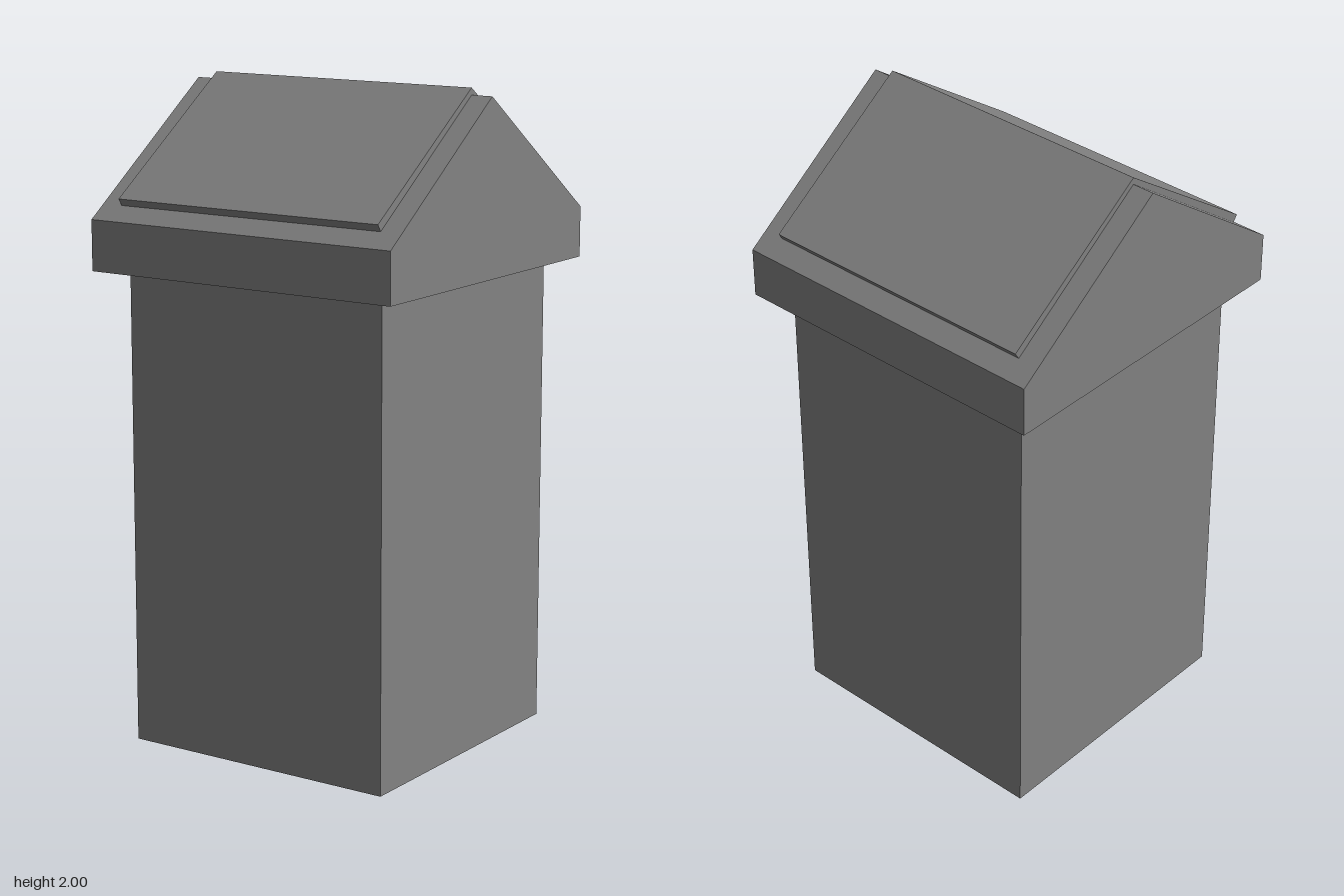
import * as THREE from 'three';

const material = new THREE.MeshStandardMaterial({ color: 0x838383 });

// Extrudes a (z, y) profile along x, centred on x = 0
function extrudeAlongX(name, profile, width) {
  const shape = new THREE.Shape(profile.map(([z, y]) => new THREE.Vector2(-z, y)));
  const geometry = new THREE.ExtrudeGeometry(shape, { depth: width, bevelEnabled: false });
  geometry.translate(0, 0, -width / 2).rotateY(Math.PI / 2);
  const mesh = new THREE.Mesh(geometry, material);
  mesh.name = name;
  return mesh;
}

export function createModel() {
  const model = new THREE.Group();
  model.name = 'gabledPillar';

  // Square shaft
  const shaftHeight = 1.451;
  const shaft = new THREE.Mesh(new THREE.BoxGeometry(0.888, shaftHeight, 0.888), material);
  shaft.name = 'shaft';
  shaft.position.y = shaftHeight / 2;
  model.add(shaft);

  // Overhanging cap with a gable at each side
  const half = 0.523;
  model.add(extrudeAlongX('gableCap', [
    [-half, shaftHeight], [half, shaftHeight], [half, 1.604], [0, 1.979], [-half, 1.604],
  ], half * 2));

  // Thin roof panels, mitred at the ridge
  for (const [name, side] of [['frontRoofPanel', 1], ['backRoofPanel', -1]]) {
    model.add(extrudeAlongX(name, [
      [0, 2], [side * 0.481, 1.665], [side * 0.467, 1.644], [0, 1.971],
    ], 0.908));
  }

  return model;
}
